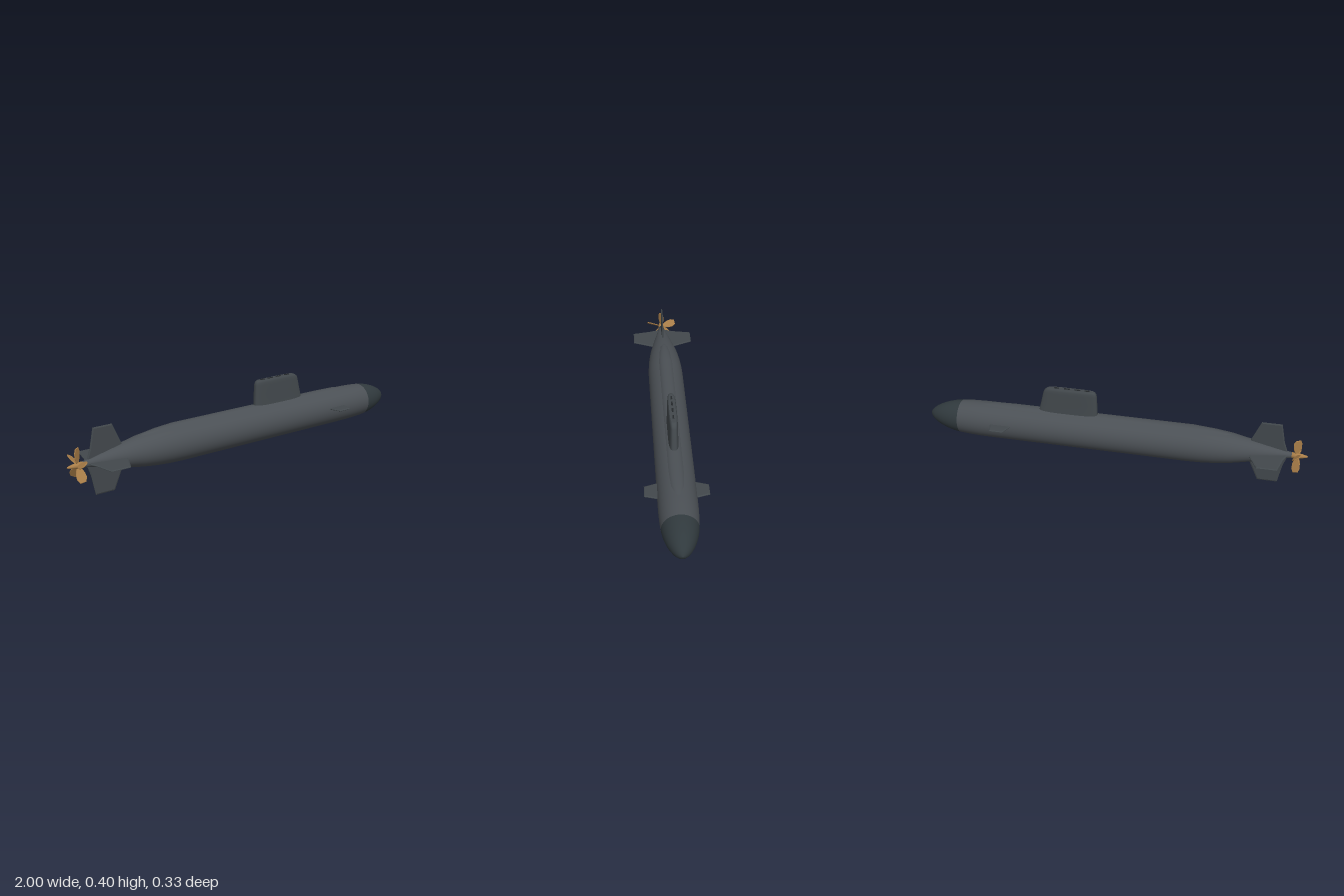
import * as THREE from 'three';

const AXIS_Y = 0.166;
const mat = (color) => new THREE.MeshStandardMaterial({ color });
const hullMat = mat(0x4b5055);
const noseMat = mat(0x30393d);
const finMat = mat(0x42484c);
const detailMat = mat(0x25292c);
const bronzeMat = mat(0xa87d48);

function add(parent, name, geometry, material) {
  const mesh = new THREE.Mesh(geometry, material);
  mesh.name = name;
  parent.add(mesh);
  return mesh;
}

// Body of revolution along x from [x, radius] pairs
function revolve(profile, sides = 48) {
  const pts = profile.map(([x, r]) => new THREE.Vector2(r, x));
  return new THREE.LatheGeometry(pts, sides).rotateZ(-Math.PI / 2);
}

// Skin over a row of cross-sections
function loft(rings, closed) {
  const n = rings[0].length;
  const index = [];
  for (let i = 0; i < rings.length - 1; i++) {
    for (let j = 0; j < (closed ? n : n - 1); j++) {
      const k = (j + 1) % n;
      const a = i * n + j, b = a + n, c = i * n + k, d = c + n;
      index.push(a, b, c, b, d, c);
    }
  }
  const geometry = new THREE.BufferGeometry();
  geometry.setAttribute('position', new THREE.Float32BufferAttribute(rings.flat(2), 3));
  geometry.setIndex(index);
  geometry.computeVertexNormals();
  return geometry;
}

// Thin plate with chamfered edges, centred on z = 0
function plate(points, thickness, chamfer) {
  const shape = new THREE.Shape(points.map(([x, y]) => new THREE.Vector2(x, y)));
  const t = thickness / 3;
  return new THREE.ExtrudeGeometry(shape, {
    depth: t, bevelEnabled: true, bevelThickness: t,
    bevelSize: chamfer, bevelOffset: -chamfer, bevelSegments: 1,
  }).translate(0, 0, -t / 2);
}

// Sail outline at height y, between x0 and x1
function sailRing(y, x0, x1, half, n = 40) {
  return Array.from({ length: n }, (_, j) => {
    const t = (j / n) * Math.PI * 2;
    const c = Math.cos(t), s = Math.sin(t);
    return [
      (x0 + x1) / 2 + Math.sign(c) * Math.pow(Math.abs(c), 0.5) * (x1 - x0) / 2,
      y,
      Math.sign(s) * Math.pow(Math.abs(s), 0.6) * half,
    ];
  });
}

export function createModel() {
  const model = new THREE.Group();
  model.name = 'submarine';

  // Hull and nose
  const body = new THREE.Group();
  body.name = 'body';
  body.position.y = AXIS_Y;
  model.add(body);
  add(body, 'hull', revolve([
    [-0.935, 0], [-0.935, 0.012], [-0.88, 0.021], [-0.8, 0.039], [-0.71, 0.059],
    [-0.62, 0.077], [-0.54, 0.087], [-0.47, 0.092], [-0.4, 0.094], [0, 0.094],
    [0.6, 0.094], [0.7, 0.0935], [0.76, 0.0915], [0.82, 0.087],
  ]), hullMat);
  add(body, 'nose', revolve([
    [0.82, 0.087], [0.86, 0.081], [0.9, 0.07], [0.93, 0.0585],
    [0.96, 0.043], [0.98, 0.0275], [0.992, 0.013], [0.997, 0],
  ]), noseMat);

  // Raised deck casing: [x, half width, top y, edge y]
  const deck = [
    [-0.62, 0.006, 0.243, 0.235], [-0.59, 0.024, 0.251, 0.236], [-0.52, 0.034, 0.260, 0.242],
    [-0.42, 0.04, 0.267, 0.248], [0.1, 0.04, 0.267, 0.248], [0.52, 0.04, 0.267, 0.248],
    [0.63, 0.034, 0.265, 0.25], [0.7, 0.02, 0.259, 0.25], [0.73, 0.006, 0.255, 0.248],
  ];
  const across = [1, 0.8, 0.55, 0.25, 0, -0.25, -0.55, -0.8, -1];
  add(model, 'deckCasing', loft(deck.map(([x, w, top, edge]) =>
    across.map((u) => [x, edge + (top - edge) * (1 - Math.pow(Math.abs(u), 3)), u * w])), false), hullMat);

  // Sail with a rounded top edge
  const sail = new THREE.Group();
  sail.name = 'sail';
  model.add(sail);
  const rings = [
    [0.25, 0.074, 0.39, 0.026], [0.267, 0.075, 0.385, 0.0245], [0.32, 0.077, 0.372, 0.0232],
    [0.37, 0.079, 0.36, 0.0218], [0.383, 0.082, 0.353, 0.021], [0.391, 0.088, 0.343, 0.019],
    [0.395, 0.096, 0.333, 0.016],
  ].map((r) => sailRing(...r));
  add(sail, 'sailSides', loft(rings, true), finMat);
  const rim = rings[rings.length - 1];
  add(sail, 'sailTop', loft([rim, rim.map(() => [0.215, 0.395, 0])], true), finMat);

  // Mast covers along the sail top
  for (const [x, length] of [[0.13, 0.025], [0.18, 0.03], [0.235, 0.03], [0.29, 0.025]]) {
    const cover = add(sail, 'mastCover', new THREE.BoxGeometry(length, 0.004, 0.008), detailMat);
    cover.position.set(x, 0.396, 0);
  }

  // Cross-shaped tail fins
  const finGeometry = plate([
    [-0.9, 0.01], [-0.7, 0.01], [-0.715, 0.066], [-0.76, 0.166], [-0.86, 0.166], [-0.88, 0.066],
  ], 0.008, 0.006);
  ['upperRudder', 'leftSternPlane', 'lowerRudder', 'rightSternPlane'].forEach((name, k) => {
    add(body, name, finGeometry, finMat).rotation.x = k * Math.PI / 2;
  });

  // Bow planes
  const bowGeometry = plate([
    [0.522, 0.07], [0.634, 0.07], [0.632, 0.096], [0.615, 0.153], [0.545, 0.153], [0.525, 0.096],
  ], 0.008, 0.005);
  for (const side of [1, -1]) {
    const plane = add(model, side > 0 ? 'frontBowPlane' : 'backBowPlane', bowGeometry, finMat);
    plane.position.y = 0.183;
    plane.rotation.x = side * Math.PI / 2;
  }

  // Propeller: hub and five pitched blades
  const propeller = new THREE.Group();
  propeller.name = 'propeller';
  body.add(propeller);
  add(propeller, 'hub', revolve([
    [-1, 0], [-0.995, 0.005], [-0.97, 0.011], [-0.95, 0.014], [-0.92, 0.015], [-0.915, 0],
  ], 20), bronzeMat);
  const bladeGeometry = plate([
    [-0.008, 0.008], [0.008, 0.008], [0.022, 0.04], [0.024, 0.065],
    [0.014, 0.085], [-0.014, 0.085], [-0.024, 0.065], [-0.022, 0.04],
  ], 0.005, 0.002).rotateY(0.6);
  for (let k = 0; k < 5; k++) {
    const blade = add(propeller, 'blade', bladeGeometry, bronzeMat);
    blade.position.x = -0.945;
    blade.rotation.x = (k / 5) * Math.PI * 2;
  }

  return model;
}
